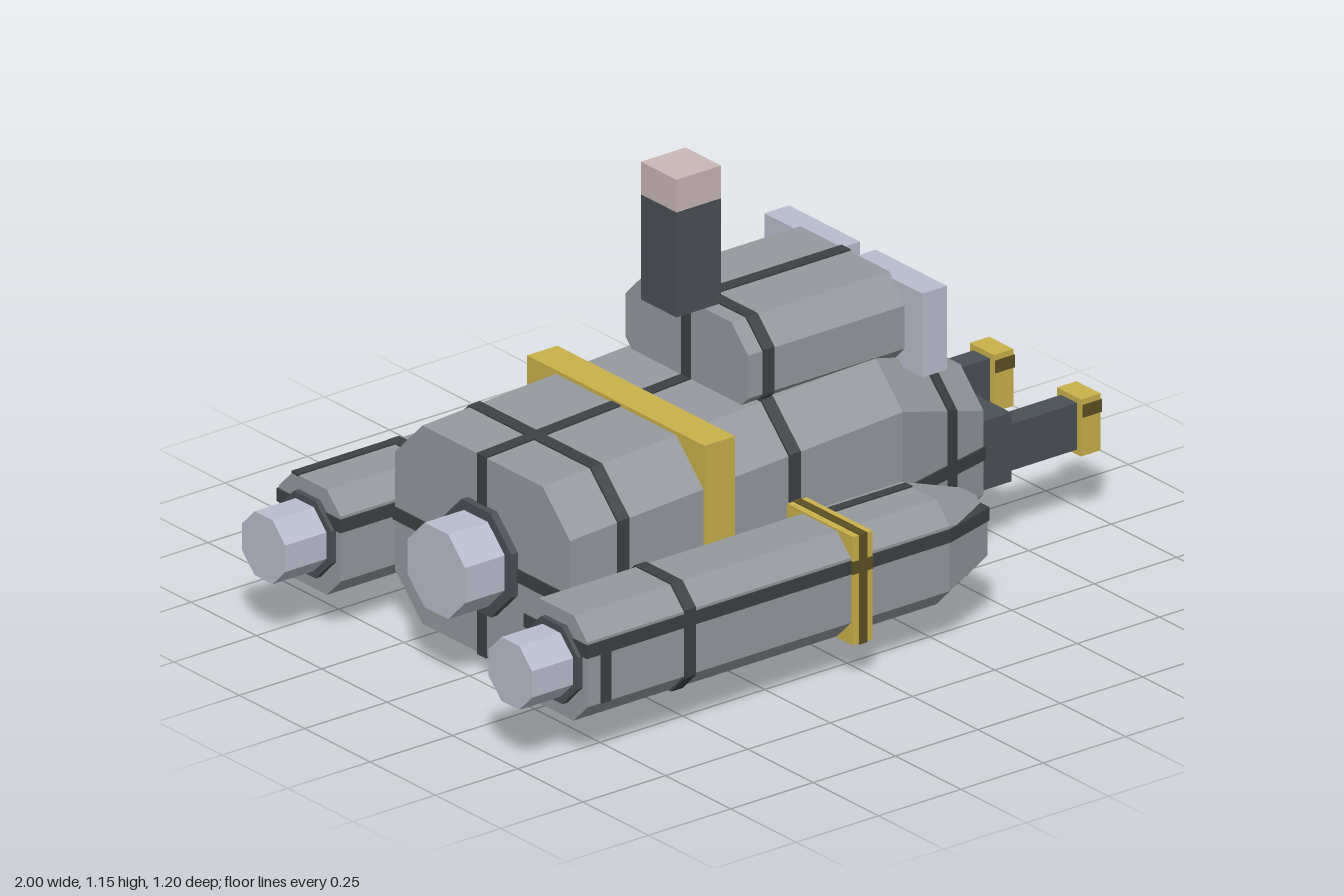
import * as THREE from 'three';

const mat = (name, color, flatShading = true) => {
  const m = new THREE.MeshStandardMaterial({ color, flatShading });
  m.name = name;
  return m;
};

// Section: [x, bottom, top, halfWidth, chamfer]
const HULL = [[-0.71, 0.045, 0.56, 0.335, 0.105], [0.3, 0.045, 0.618, 0.335, 0.105], [0.605, 0.1, 0.497, 0.26, 0.09]];
const POD = [[-0.86, 0.1, 0.373, 0.118, 0.052], [0.24, 0.1, 0.373, 0.118, 0.052], [0.39, 0.143, 0.33, 0.073, 0.045]];
const CABIN = [[-0.09, 0.555, 0.797, 0.235, 0.065], [0.39, 0.555, 0.797, 0.235, 0.065]];
const LIFT = 0.004;
const LINE = 0.034;

// Chamfered octagonal loft along x, closed at both ends
function loft(sections) {
  const loops = sections.map(([x, b, t, w, c]) => [
    [t, c - w], [t, w - c], [t - c, w], [b + c, w], [b, w - c], [b, c - w], [b + c, -w], [t - c, -w],
  ].map(([y, z]) => [x, y, z]));
  const pos = [];
  const tri = (...p) => p.forEach((v) => pos.push(...v));
  for (let s = 0; s < loops.length - 1; s++) {
    for (let i = 0; i < 8; i++) {
      const j = (i + 1) % 8, a = loops[s], b = loops[s + 1];
      tri(a[i], a[j], b[j]);
      tri(a[i], b[j], b[i]);
    }
  }
  const first = loops[0], last = loops[loops.length - 1];
  for (let i = 1; i < 7; i++) {
    tri(last[0], last[i], last[i + 1]);
    tri(first[0], first[i + 1], first[i]);
  }
  const g = new THREE.BufferGeometry();
  g.setAttribute('position', new THREE.Float32BufferAttribute(pos, 3));
  g.computeVertexNormals();
  return g;
}

// Section of a loft at any x, lifted slightly off the surface
function sectionAt(sections, x) {
  let k = 0;
  while (k < sections.length - 2 && x > sections[k + 1][0]) k++;
  const a = sections[k], b = sections[k + 1];
  const t = (x - a[0]) / (b[0] - a[0]);
  const s = a.map((v, i) => v + (b[i] - v) * t);
  return [x, s[1] - LIFT, s[2] + LIFT, s[3] + LIFT, s[4]];
}

// Band running round a loft at x
const ring = (sections, x) => loft([sectionAt(sections, x - LINE / 2), sectionAt(sections, x + LINE / 2)]);

// Line running lengthways round a loft: upright at z = 0, or level at a height
function lengthLine(sections, level) {
  const upright = level === undefined;
  const n = sections.length - 1;
  const edge = sections.map(([x, b, t, w], i) => {
    const ex = x + (i === 0 ? -LIFT : i === n ? LIFT : 0);
    return upright ? [ex, b - LIFT, t + LIFT] : [ex, -w - LIFT, w + LIFT];
  });
  const pts = [...edge.map((e) => [e[0], e[1]]), ...[...edge].reverse().map((e) => [e[0], e[2]])];
  const shape = new THREE.Shape(pts.map((p) => new THREE.Vector2(p[0], p[1])));
  const g = new THREE.ExtrudeGeometry(shape, { depth: LINE, bevelEnabled: false });
  g.translate(0, 0, -LINE / 2);
  if (!upright) g.rotateX(-Math.PI / 2).translate(0, level, 0);
  return g;
}

// Box from its limits
function box(x0, x1, y0, y1, z0, z1) {
  return new THREE.BoxGeometry(x1 - x0, y1 - y0, z1 - z0)
    .translate((x0 + x1) / 2, (y0 + y1) / 2, (z0 + z1) / 2);
}

// Eight-sided drum along x with flats at top and sides
function drum(x0, x1, y, flat) {
  const r = flat / Math.cos(Math.PI / 8);
  return new THREE.CylinderGeometry(r, r, x1 - x0, 8)
    .rotateY(Math.PI / 8).rotateZ(Math.PI / 2).translate((x0 + x1) / 2, y, 0);
}

export function createModel() {
  const model = new THREE.Group();
  model.name = 'utilityCraft';
  const grey = mat('hullGrey', 0x95999e);
  const line = mat('panelLine', 0x3d4143);
  const dark = mat('darkMetal', 0x4b5055);
  const yellow = mat('yellow', 0xcab14a);
  const brown = mat('yellowLine', 0x5c5022);
  const pale = mat('paleMetal', 0xbabecd);
  const pink = mat('pinkCap', 0xcab8b8);

  const add = (parent, name, geometry, material) => {
    const m = new THREE.Mesh(geometry, material);
    m.name = name;
    parent.add(m);
    return m;
  };

  // Main hull with panel lines
  add(model, 'hull', loft(HULL), grey);
  [-0.55, -0.03, 0.485].forEach((x) => add(model, 'hullRing', ring(HULL, x), line));
  add(model, 'hullCentreLine', lengthLine(HULL), line);
  add(model, 'hullSideLine', lengthLine(HULL, 0.297), line);
  add(model, 'hullStrap', box(-0.305, -0.213, 0, 0.593, -0.34, 0.34), yellow);
  add(model, 'strapLine', box(-0.215, -0.21, 0.027, 0.045, 0, 0.34), brown);

  // Rear engine
  add(model, 'engineCollar', drum(-0.73, -0.705, 0.3, 0.135), dark);
  add(model, 'engineNozzle', drum(-0.85, -0.72, 0.3, 0.11), pale);

  // Upper cabin with front plates
  add(model, 'cabin', loft(CABIN), grey);
  add(model, 'cabinRing', ring(CABIN, -0.03), line);
  add(model, 'cabinCentreLine', lengthLine(CABIN), line);
  for (const s of [-1, 1]) {
    const z = [0.03 * s, 0.302 * s].sort((a, b) => a - b);
    add(model, 'frontPlate', box(0.385, 0.46, 0.568, 0.786, ...z), pale);
  }

  // Mast
  add(model, 'mast', box(-0.175, -0.04, 0.797, 1.07, -0.068, 0.068), dark);
  add(model, 'mastCap', box(-0.175, -0.04, 1.07, 1.155, -0.068, 0.068), pink);

  // Gripper
  add(model, 'gripperBase', box(0.62, 0.738, 0.165, 0.344, -0.198, 0.198), dark);
  for (const s of [-1, 1]) {
    const arm = new THREE.Group();
    arm.name = 'gripperArm';
    arm.position.z = 0.167 * s;
    add(arm, 'arm', box(0.738, 0.945, 0.193, 0.314, -0.031, 0.031), dark);
    add(arm, 'gripperTip', box(0.938, 0.997, 0.18, 0.328, -0.046, 0.046), yellow);
    add(arm, 'tipLine', box(0.942, 1, 0.28, 0.313, -0.048, 0.048), brown);
    model.add(arm);
  }

  // Side pods
  for (const s of [-1, 1]) {
    const pod = new THREE.Group();
    pod.name = s > 0 ? 'frontPod' : 'backPod';
    pod.position.z = 0.472 * s;
    add(pod, 'podBody', loft(POD), grey);
    add(pod, 'podRing', ring(POD, -0.55), line);
    add(pod, 'podSideLine', lengthLine(POD, 0.297), line);
    add(pod, 'podCollar', drum(-0.875, -0.855, 0.238, 0.1), dark);
    add(pod, 'podNozzle', drum(-1, -0.87, 0.238, 0.083), pale);
    // Square strap with a line round its middle
    add(pod, 'podStrap', box(-0.06, 0, 0.096, 0.378, -0.126, 0.126), yellow);
    add(pod, 'strapRing', box(-0.042, -0.018, 0.094, 0.38, -0.128, 0.128), brown);
    add(pod, 'strapSideLine', box(-0.062, 0.002, 0.28, 0.313, -0.127, 0.127), brown);
    // Short panel lines
    add(pod, 'podSideMark', box(-0.82, -0.79, 0.152, 0.29, s > 0 ? 0.116 : -0.122, s > 0 ? 0.122 : -0.116), line);
    const [x0, x1, z] = s > 0 ? [0, 0.24, -0.038] : [-0.862, -0.55, -0.055];
    add(pod, 'podTopMark', box(x0, x1, 0.371, 0.377, z - 0.013, z + 0.013), line);
    model.add(pod);
  }
  return model;
}
